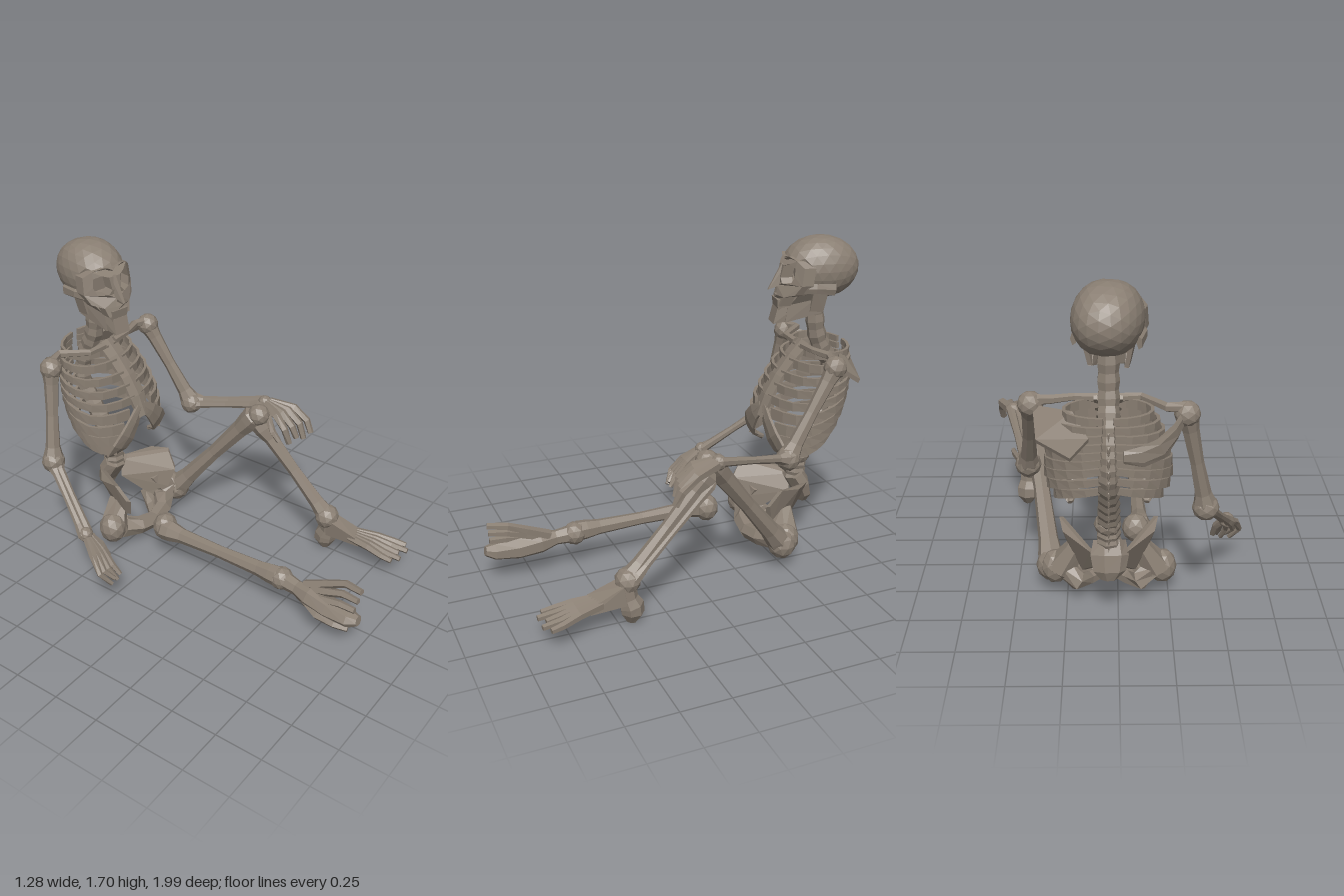
import * as THREE from 'three';
import { ConvexGeometry } from 'three/addons/geometries/ConvexGeometry.js';

const CX = 0.045; // body midline
const V = (x, y, z) => new THREE.Vector3(x, y, z);

export function createModel() {
  const model = new THREE.Group();
  model.name = 'skeleton';
  const bone = new THREE.MeshStandardMaterial({ color: 0x8a7f73, flatShading: true });
  bone.name = 'old bone';

  const add = (name, geo, parent) => {
    const m = new THREE.Mesh(geo, bone);
    m.name = name;
    parent.add(m);
    return m;
  };
  const group = (name) => {
    const g = new THREE.Group();
    g.name = name;
    model.add(g);
    return g;
  };

  // Closed tube through points [x, y, z, sideRadius, upRadius]
  function sweep(pts, sides = 6, ref) {
    const P = pts.map((p) => V(p[0], p[1], p[2]));
    const n = P.length;
    const span = P[n - 1].clone().sub(P[0]).normalize();
    const up0 = ref || (Math.abs(span.y) > 0.75 ? V(0, 0, 1) : V(0, 1, 0));
    const pos = [], idx = [];
    P.forEach((p, i) => {
      const t = P[Math.min(i + 1, n - 1)].clone().sub(P[Math.max(i - 1, 0)]).normalize();
      const side = up0.clone().cross(t).normalize();
      const up = t.clone().cross(side);
      const a = pts[i][3], b = pts[i][4] ?? a;
      for (let j = 0; j < sides; j++) {
        const w = ((j + 0.5) / sides) * Math.PI * 2;
        const q = p.clone().addScaledVector(side, Math.cos(w) * a).addScaledVector(up, Math.sin(w) * b);
        pos.push(q.x, q.y, q.z);
      }
    });
    for (let i = 0; i < n - 1; i++) {
      for (let j = 0; j < sides; j++) {
        const A = i * sides + j, B = i * sides + ((j + 1) % sides);
        idx.push(A, B, B + sides, A, B + sides, A + sides);
      }
    }
    for (let j = 1; j < sides - 1; j++) {
      const e = (n - 1) * sides;
      idx.push(0, j + 1, j, e, e + j, e + j + 1);
    }
    const g = new THREE.BufferGeometry();
    g.setAttribute('position', new THREE.Float32BufferAttribute(pos, 3));
    g.setIndex(idx);
    g.computeVertexNormals();
    return g;
  }

  // Long bone with knobbly ends
  function longBone(name, a, b, r, ra, rb, parent) {
    const prof = [[-0.05, ra * 0.55], [0, ra], [0.06, ra * 0.95], [0.16, r * 1.1], [0.5, r * 0.9],
      [0.84, r * 1.1], [0.94, rb * 0.95], [1, rb], [1.05, rb * 0.5]];
    const at = (t, k) => a[k] + (b[k] - a[k]) * t;
    add(name, sweep(prof.map(([t, q]) => [at(t, 0), at(t, 1), at(t, 2), q]), 7), parent);
  }
  const ball = (name, p, r, parent, s = [1, 1, 1]) => {
    const m = add(name, new THREE.IcosahedronGeometry(r, 1), parent);
    m.position.set(...p);
    m.scale.set(...s);
  };
  const hull = (name, pts, parent) => add(name, new ConvexGeometry(pts.map((p) => V(...p))), parent);
  const mirrorHull = (name, pts, parent) => hull(name, [...pts, ...pts.map(([x, y, z]) => [-x, y, z])], parent);
  const plate = (name, pts, d, parent) =>
    hull(name, [...pts, ...pts.map((p) => p.map((c, k) => c + d[k]))], parent);
  const digit = (name, pts, r, parent) =>
    add(name, sweep(pts.map((p, i) => [...p, r * (1 - i * 0.13)]), 5), parent);

  // Skull, turned a little to its right
  const head = group('head');
  head.position.set(CX, 0, -0.797);
  head.rotation.y = -0.2;
  const cran = new THREE.IcosahedronGeometry(1, 3);
  const cp = cran.attributes.position;
  for (let i = 0; i < cp.count; i++) {
    const nx = cp.getX(i);
    const y = Math.max(1.545 + cp.getY(i) * 0.16, 1.395);
    const z = cp.getZ(i) * 0.2;
    cp.setXYZ(i, Math.sign(nx) * Math.abs(nx) ** 0.85 * 0.156, y, y < 1.585 ? Math.min(z, 0.1) : z);
  }
  add('cranium', cran, head);

  const poly = (list, C = THREE.Shape) => new C(list.map(([x, y]) => new THREE.Vector2(x, y)));
  const half = [[0.065, 1.36], [0.08, 1.41], [0.13, 1.43], [0.152, 1.48], [0.147, 1.57], [0.11, 1.6], [0.06, 1.615], [0.02, 1.61]];
  const faceShape = poly([...half, ...half.slice().reverse().map(([x, y]) => [-x, y])]);
  for (const s of [-1, 1]) {
    faceShape.holes.push(poly([[0.028, 1.5], [0.035, 1.565], [0.07, 1.578], [0.108, 1.565], [0.115, 1.52], [0.1, 1.48], [0.05, 1.475]]
      .map(([x, y]) => [s * x, y]), THREE.Path));
  }
  faceShape.holes.push(poly([[-0.022, 1.41], [0.022, 1.41], [0.01, 1.455], [-0.01, 1.455]], THREE.Path));
  const face = new THREE.ExtrudeGeometry(faceShape, { depth: 0.06, bevelEnabled: false });
  const fp = face.attributes.position;
  for (let i = 0; i < fp.count; i++) {
    const x = fp.getX(i), y = fp.getY(i);
    fp.setZ(i, fp.getZ(i) + 0.14 + (1.6 - y) * 0.18 - 3.6 * x * x);
  }
  add('face', face, head);
  mirrorHull('upperJaw', [[0.13, 1.475, 0.01], [0.085, 1.385, 0.02], [0.125, 1.46, 0.12], [0.06, 1.36, 0.17],
    [0.035, 1.45, 0.17]], head);
  mirrorHull('noseBridge', [[0.018, 1.57, 0.18], [0.022, 1.46, 0.21], [0.006, 1.57, 0.203], [0.006, 1.435, 0.272]], head);
  mirrorHull('teeth', [[0.065, 1.39, 0.1], [0.06, 1.3, 0.12], [0.05, 1.39, 0.235], [0.045, 1.31, 0.225]], head);
  mirrorHull('chin', [[0.07, 1.36, 0.13], [0.06, 1.28, 0.16], [0.045, 1.262, 0.25], [0.045, 1.345, 0.23]], head);
  for (const s of [-1, 1]) {
    plate('jawBody', [[s * 0.09, 1.4, 0.04], [s * 0.09, 1.32, 0.01], [s * 0.06, 1.27, 0.19], [s * 0.06, 1.37, 0.18]],
      [-s * 0.02, 0, 0], head);
    plate('jawRamus', [[s * 0.12, 1.47, -0.02], [s * 0.12, 1.47, 0.06], [s * 0.088, 1.33, 0.07], [s * 0.09, 1.325, 0]],
      [-s * 0.02, 0, 0], head);
    add('cheekbone', sweep([[s * 0.13, 1.465, 0.12, 0.012, 0.03], [s * 0.15, 1.465, 0.06, 0.01, 0.026],
      [s * 0.142, 1.455, -0.04, 0.014, 0.032]], 5), head);
  }

  // Spine
  const torso = group('torso');
  const spineCurve = new THREE.CatmullRomCurve3([V(CX, 1.42, -0.775), V(CX, 1.18, -0.8), V(CX, 1.0, -0.885),
    V(CX, 0.84, -0.895), V(CX, 0.66, -0.795), V(CX, 0.5, -0.715), V(CX, 0.38, -0.7)]);
  const spinePts = [];
  for (let i = 0; i <= 36; i++) {
    const t = i / 36, p = spineCurve.getPoint(t);
    const r = (t < 0.3 ? 0.05 : 0.043 + (t - 0.3) * 0.025) * (i % 2 ? 0.92 : 1.04);
    spinePts.push([p.x, p.y, p.z, r, r]);
    if (i % 2 === 0 && i > 9) {
      hull('spinousProcess', [[CX - 0.018, p.y + 0.02, p.z - 0.02], [CX + 0.018, p.y + 0.02, p.z - 0.02],
        [CX - 0.014, p.y - 0.025, p.z - 0.02], [CX + 0.014, p.y - 0.025, p.z - 0.02],
        [CX, p.y - 0.035, p.z - 0.06], [CX, p.y - 0.005, p.z - 0.055]], torso);
    }
  }
  add('spine', sweep(spinePts, 7, V(0, 0, 1)), torso);
  ball('lumbarJoint', [CX + 0.005, 0.51, -0.715], 0.065, torso, [1, 0.8, 1]);

  // Rib cage: an egg leaning back; th runs from spine (0) to breastbone (PI)
  const chestW = (y) => 0.287 - (y < 0.78 ? 2.2 : 0.8) * (y - 0.78) ** 2;
  const chest = (s, y, th) => [CX + s * chestW(y) * Math.sin(th), y,
    -0.82 + 0.4 * (1.12 - y) - (0.205 - (y - 0.84) ** 2) * Math.cos(th)];
  const onFront = (s, dx, y) => chest(s, y, Math.PI - Math.asin(Math.min(1, dx / chestW(y))));
  add('breastbone', sweep([[1.15, 0.075], [1.08, 0.07], [0.98, 0.06], [0.88, 0.065], [0.77, 0.045]]
    .map(([y, w]) => [...chest(1, y, Math.PI), w, 0.018]), 6, V(0, 0, 1)), torso);
  for (const s of [-1, 1]) {
    for (let i = 0; i < 9; i++) {
      const yf = 1.115 - i * 0.061;
      const yb = Math.min(yf + 0.14, 1.13 - i * 0.039);
      const end = i < 5 ? Math.PI * 0.97 : Math.PI * (0.9 - (i - 5) * 0.06);
      const pts = [];
      for (let k = 0; k <= 9; k++) {
        const u = k / 9;
        pts.push([...chest(s, yb + (yf - yb) * Math.min(1, u * 1.4), 0.12 + (end - 0.12) * u),
          0.011, 0.022 + (i < 5 ? 0.012 : 0.022) * u]);
      }
      add('rib', sweep(pts, 4, V(0, 1, 0)), torso);
    }
    add('costalArch', sweep([[0.01, 0.82, 0.03], [0.075, 0.76, 0.05], [0.13, 0.695, 0.065], [0.17, 0.64, 0.065],
      [0.19, 0.59, 0.045], [0.19, 0.56, 0.015]].map(([dx, y, w]) => [...onFront(s, dx, y), w, 0.014]), 6, V(0, 0, 1)), torso);
  }

  // Shoulder girdle: collarbones and blades sloping down to the back
  const shoulderL = [0.39, 1.115, -0.71], shoulderR = [-0.3, 1.105, -0.8];
  for (const [sh, s] of [[shoulderL, 1], [shoulderR, -1]]) {
    add('collarbone', sweep([[CX + s * 0.04, 1.14, -0.7, 0.022], [CX + s * 0.15, 1.145, -0.7, 0.018],
      [sh[0] - s * 0.09, 1.145, sh[2] - 0.02, 0.022], [sh[0], 1.135, sh[2], 0.028]], 6), torso);
  }
  plate('leftShoulderBlade', [[0.38, 1.1, -0.72], [0.36, 1.0, -0.87], [0.21, 0.95, -0.955], [0.13, 1.04, -0.95],
    [0.2, 1.12, -0.84]], [0, 0.02, -0.01], torso);
  add('rightShoulderBlade', sweep([[-0.29, 1.1, -0.8, 0.014, 0.035], [-0.245, 1.06, -0.89, 0.012, 0.045],
    [-0.18, 1.01, -0.955, 0.011, 0.055], [-0.1, 0.985, -0.982, 0.011, 0.05], [-0.02, 0.985, -0.988, 0.01, 0.03]],
    6, V(0, 1, 0)), torso);

  // Arms: upper arm, two forearm bones and a hand
  function arm(name, sh, elbow, wrist) {
    const g = group(name);
    ball('shoulderBall', sh, 0.06, g);
    longBone('upperArm', sh, elbow, 0.036, 0.05, 0.056, g);
    ball('elbow', elbow, 0.064, g, [1, 1, 0.95]);
    const off = (p, d) => [p[0] + d, p[1] + d * 0.5, p[2]];
    longBone('ulna', off(elbow, 0.014), off(wrist, 0.016), 0.021, 0.045, 0.026, g);
    longBone('radius', off(elbow, -0.014), off(wrist, -0.016), 0.02, 0.036, 0.03, g);
    ball('wrist', wrist, 0.04, g);
    return g;
  }
  const armL = arm('leftArm', shoulderL, [0.43, 0.685, -0.44], [0.53, 0.78, -0.01]);
  const armR = arm('rightArm', shoulderR, [-0.4, 0.61, -0.74], [-0.54, 0.355, -0.41]);
  for (let i = 0; i < 4; i++) {
    digit('finger', [[0.515 + i * 0.012, 0.78, 0.01], [0.475 + i * 0.043, 0.76, 0.1 + i * 0.012],
      [0.462 + i * 0.051, 0.7, 0.165 + i * 0.016], [0.475 + i * 0.045, 0.615 + (i % 2) * 0.02, 0.19 + i * 0.018]], 0.028, armL);
    digit('finger', [[-0.555 + i * 0.01, 0.345, -0.39], [-0.6 + i * 0.026, 0.29, -0.315], [-0.625 + i * 0.034, 0.215, -0.25],
      [-0.58 + i * 0.022, 0.145 + (i % 2) * 0.02, -0.21]], 0.021, armR);
  }
  plate('leftPalm', [[0.5, 0.77, 0.0], [0.56, 0.77, 0.0], [0.47, 0.735, 0.11], [0.61, 0.735, 0.13]], [0, 0.02, 0.005], armL);
  plate('rightPalm', [[-0.57, 0.35, -0.4], [-0.52, 0.35, -0.4], [-0.6, 0.285, -0.32], [-0.52, 0.285, -0.32]],
    [0, 0.01, 0.014], armR);
  digit('thumb', [[0.51, 0.77, 0], [0.46, 0.73, 0.06], [0.445, 0.67, 0.1], [0.45, 0.62, 0.14]], 0.025, armL);
  digit('thumb', [[-0.53, 0.345, -0.39], [-0.495, 0.29, -0.35], [-0.485, 0.22, -0.31]], 0.022, armR);

  // Pelvis
  const pelvis = group('pelvis');
  for (const s of [-1, 1]) {
    const X = (d) => CX + s * d;
    plate('hipWing', [[X(0.24), 0.43, -0.5], [X(0.22), 0.41, -0.61], [X(0.09), 0.37, -0.73], [X(0.06), 0.28, -0.71],
      [X(0.13), 0.18, -0.58], [X(0.19), 0.23, -0.47], [X(0.22), 0.34, -0.44]], [-s * 0.02, -0.01, 0.016], pelvis);
    add('hipFrame', sweep([[X(0.16), 0.29, -0.55, 0.05], [X(0.23), 0.18, -0.53, 0.08], [X(0.18), 0.12, -0.5, 0.062],
      [X(0.1), 0.11, -0.445, 0.05], [X(0), 0.1, -0.425, 0.045]], 6, V(0, 0, 1)), pelvis);
    add('sitBone', sweep([[X(0.21), 0.17, -0.54, 0.055], [X(0.15), 0.12, -0.59, 0.048], [X(0.1), 0.095, -0.52, 0.036],
      [X(0.03), 0.085, -0.44, 0.032]], 6), pelvis);
    ball('hipJoint', [X(0.262), 0.16, -0.51], 0.076, pelvis, [0.95, 1.15, 1]);
  }
  add('sacrum', sweep([[CX, 0.41, -0.69, 0.08, 0.055], [CX, 0.35, -0.725, 0.095, 0.055], [CX, 0.28, -0.75, 0.08, 0.042],
    [CX, 0.235, -0.75, 0.04, 0.025]], 7, V(0, 0, 1)), pelvis);

  // Left leg, knee raised
  const legL = group('leftLeg');
  const kneeL = [0.435, 0.735, -0.015], ankleL = [0.49, 0.225, 0.445];
  ball('thighBall', [0.33, 0.15, -0.48], 0.075, legL, [1, 1.1, 1]);
  longBone('thighBone', [0.33, 0.16, -0.47], kneeL, 0.046, 0.065, 0.065, legL);
  ball('kneecap', [0.44, 0.75, 0.01], 0.062, legL);
  longBone('shinBone', [0.455, 0.69, 0.015], ankleL, 0.037, 0.06, 0.052, legL);
  longBone('calfBone', [0.49, 0.64, 0.01], [0.525, 0.235, 0.425], 0.018, 0.025, 0.03, legL);
  ball('ankle', ankleL, 0.065, legL, [1.1, 1, 1]);
  add('heel', sweep([[0.5, 0.21, 0.46, 0.05], [0.505, 0.14, 0.45, 0.05], [0.51, 0.1, 0.435, 0.062], [0.51, 0.06, 0.43, 0.06],
    [0.51, 0.008, 0.435, 0.025]], 7), legL);
  hull('instep', [[0.45, 0.23, 0.46], [0.54, 0.23, 0.46], [0.46, 0.12, 0.46], [0.55, 0.12, 0.46], [0.46, 0.175, 0.64],
    [0.56, 0.165, 0.64], [0.465, 0.125, 0.66], [0.57, 0.125, 0.66]], legL);
  for (let i = 0; i < 5; i++) {
    digit('toe', [[0.48 + i * 0.016, 0.155, 0.6], [0.465 + i * 0.03, 0.15, 0.72], [0.455 + i * 0.04, 0.135, 0.81],
      [0.455 + i * 0.043, 0.128, 0.87 + (i % 2) * 0.03]], 0.025, legL);
  }

  // Right leg, lying flat and separate from the hip
  const legR = group('rightLeg');
  ball('kneeEnd', [-0.093, 0.215, -0.235], 0.07, legR, [1.02, 1.1, 0.95]);
  longBone('legBone', [-0.115, 0.215, -0.22], [-0.1, 0.215, 0.5], 0.038, 0.06, 0.055, legR);
  ball('ankle', [-0.095, 0.21, 0.52], 0.062, legR);
  add('instep', sweep([[-0.095, 0.21, 0.52, 0.05], [-0.105, 0.2, 0.62, 0.04], [-0.11, 0.19, 0.7, 0.062, 0.06],
    [-0.12, 0.175, 0.82, 0.065, 0.058], [-0.13, 0.175, 0.94, 0.055, 0.045], [-0.13, 0.185, 0.99, 0.03, 0.025]], 7), legR);
  for (let i = 0; i < 5; i++) {
    const u = i / 4;
    digit('toe', [[-0.09 - 0.03 * u, 0.23 - 0.05 * u, 0.66], [-0.08 - 0.09 * u, 0.285 - 0.14 * u, 0.78],
      [-0.075 - 0.1 * u, 0.33 - 0.19 * u, 0.88], [-0.1 - 0.06 * u, 0.34 - 0.205 * u, 0.98 - 0.03 * u]], 0.028, legR);
  }
  return model;
}
